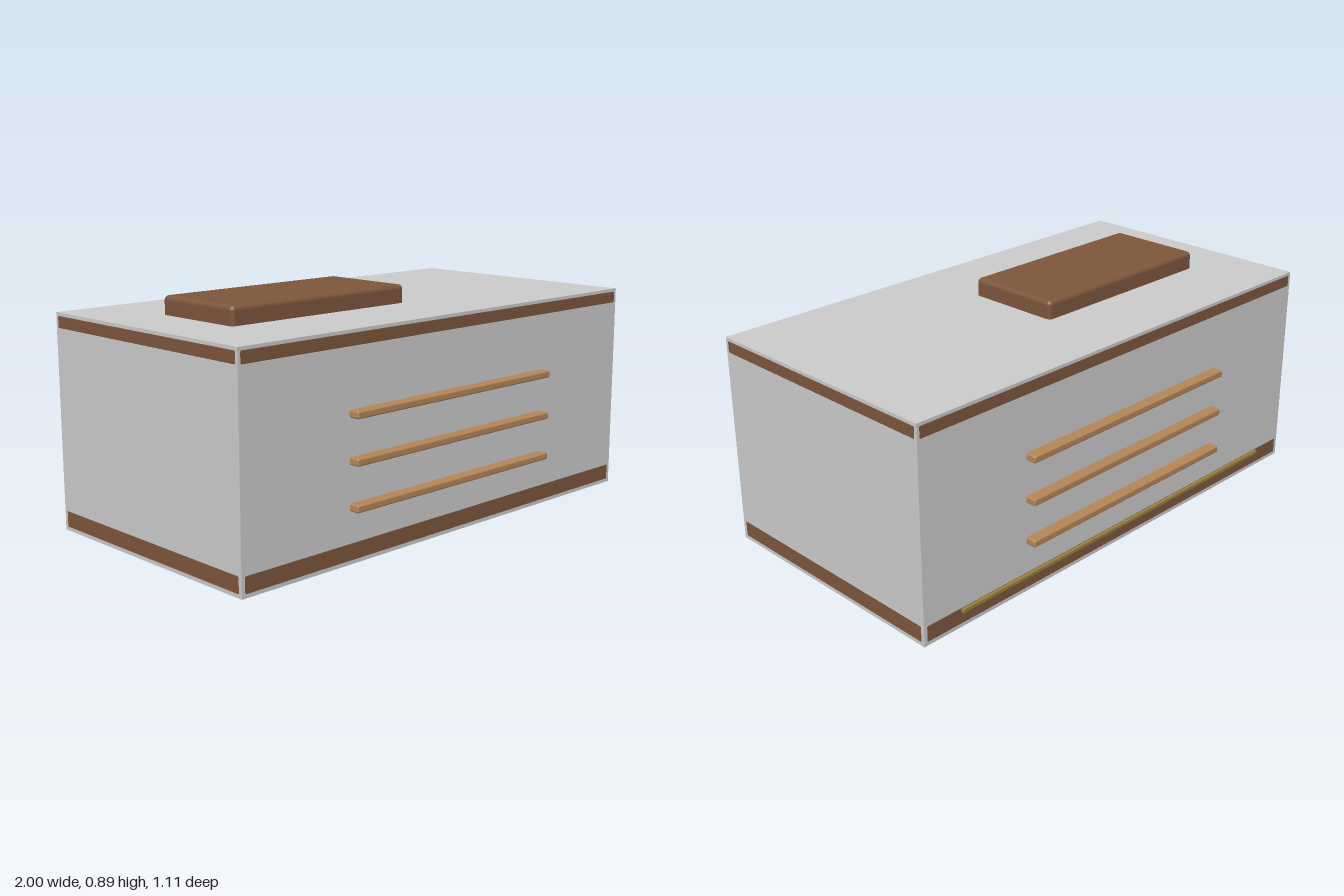
import * as THREE from 'three';
import { RoundedBoxGeometry } from 'three/addons/geometries/RoundedBoxGeometry.js';

const grey = new THREE.MeshStandardMaterial({ color: 0xcccccc });
const darkWood = new THREE.MeshStandardMaterial({ color: 0x7d563c });
const lightWood = new THREE.MeshStandardMaterial({ color: 0xb58658 });
const brass = new THREE.MeshStandardMaterial({ color: 0x9a8040 });

export function createModel() {
  const model = new THREE.Group();
  model.name = 'chest';

  // Box given by its lower and upper bounds; a radius rounds the edges
  const addBox = (name, material, [x0, y0, z0], [x1, y1, z1], radius = 0) => {
    const size = [x1 - x0, y1 - y0, z1 - z0];
    const geometry = radius
      ? new RoundedBoxGeometry(...size, 3, radius)
      : new THREE.BoxGeometry(...size);
    const mesh = new THREE.Mesh(geometry, material);
    mesh.name = name;
    mesh.position.set((x0 + x1) / 2, (y0 + y1) / 2, (z0 + z1) / 2);
    model.add(mesh);
  };

  // Main case
  addBox('body', grey, [-0.9995, 0.0005, -0.5115], [0.9995, 0.818, 0.5115]);

  // Rounded wooden bands, flush with the case at foot and rim
  addBox('baseBand', darkWood, [-1, 0, -0.512], [1, 0.09, 0.512], 0.018);
  addBox('rimBand', darkWood, [-1, 0.75, -0.512], [1, 0.8175, 0.512], 0.015);

  // Raised pad on the top, towards the right
  addBox('topPad', darkWood, [-0.76, 0.79, -0.194], [0.075, 0.888, 0.194], 0.018);

  // Three slats on the front and three on the back
  for (const side of [1, -1]) {
    for (const y of [0.205, 0.368, 0.532]) {
      const z = [side * 0.47, side * 0.553].sort((a, b) => a - b);
      addBox(side > 0 ? 'frontSlat' : 'backSlat', lightWood,
        [-0.52, y - 0.0135, z[0]], [0.52, y + 0.0135, z[1]], 0.006);
    }
  }

  // Thin rail low on the back
  addBox('backRail', brass, [-0.837, 0.062, -0.528], [0.837, 0.078, -0.515], 0.003);

  return model;
}
